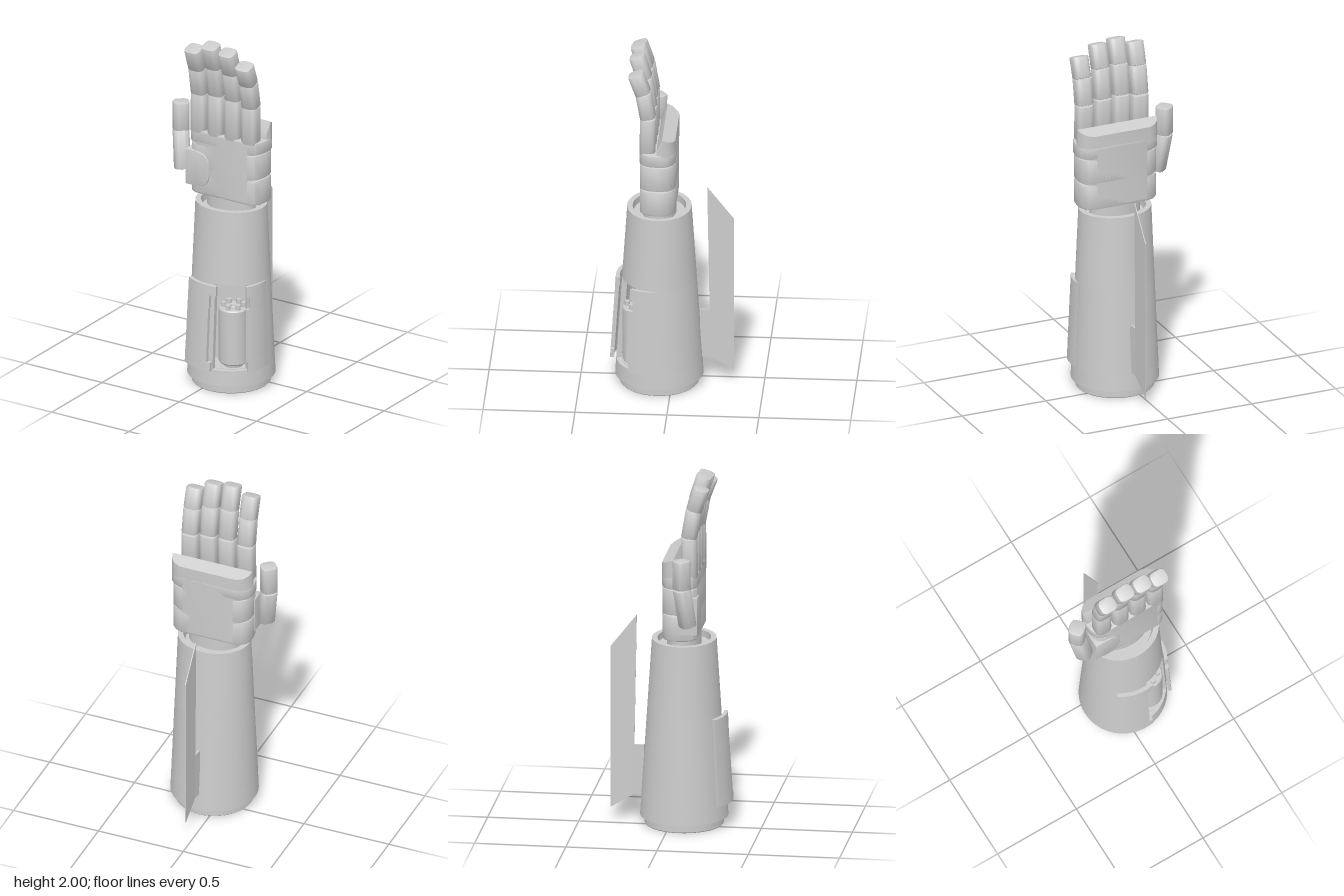
import * as THREE from 'three';
import { toCreasedNormals } from 'three/addons/utils/BufferGeometryUtils.js';

const MAT = new THREE.MeshStandardMaterial({ color: 0xcccccc });
const CX = 0.057, CZ = 0.07; // forearm axis
const DEG = Math.PI / 180;

function part(parent, name, geo, crease = 0.6) {
  const mesh = new THREE.Mesh(toCreasedNormals(geo.index ? geo.toNonIndexed() : geo, crease), MAT);
  mesh.name = name;
  parent.add(mesh);
  return mesh;
}

// Forearm half-widths: round at the elbow, oval at the wrist
function radii(y) {
  const t = (y - 0.05) / 1.0;
  return [0.24 - 0.037 * t, 0.24 - 0.065 * t];
}

// Curved block following the forearm, angles measured from the front towards +x
function wallBlock(a0, a1, y0, y1, inner, outer, lift = () => 0) {
  const full = a1 - a0 >= 360, n = Math.max(4, Math.ceil((a1 - a0) / 6)), pos = [];
  const point = (i, j) => {
    const deg = a0 + (a1 - a0) * i / n, a = deg * DEG;
    const y = j < 2 ? y0 : y1, off = (j === 1 || j === 2 ? outer : inner) + lift(deg);
    const [rx, rz] = radii(y);
    return [CX + (rx + off) * Math.sin(a), y, CZ + (rz + off) * Math.cos(a)];
  };
  const quad = (a, b, c, d) => pos.push(...a, ...b, ...c, ...a, ...c, ...d);
  for (let i = 0; i < n; i++) for (let j = 0; j < 4; j++) {
    const k = (j + 1) % 4;
    quad(point(i, j), point(i + 1, j), point(i + 1, k), point(i, k));
  }
  if (!full) {
    quad(point(0, 0), point(0, 1), point(0, 2), point(0, 3));
    quad(point(n, 3), point(n, 2), point(n, 1), point(n, 0));
  }
  const g = new THREE.BufferGeometry();
  g.setAttribute('position', new THREE.Float32BufferAttribute(pos, 3));
  return g;
}

// Upright slab from an outline in x and z, with rounded top and bottom edges
function slab(shape, y0, y1, bevel) {
  const g = new THREE.ExtrudeGeometry(shape, {
    depth: y1 - y0 - 2 * bevel, curveSegments: 6, bevelEnabled: bevel > 0,
    bevelSize: bevel, bevelOffset: -bevel, bevelThickness: bevel, bevelSegments: 2,
  });
  return g.rotateX(-Math.PI / 2).translate(0, y0 + bevel, 0);
}

// Hand outline between two depths, mirrored about the forearm axis
function handShape(profile, grow = 0) {
  const right = profile.map(([x, z]) => new THREE.Vector2(CX + x + grow, -z));
  const left = profile.map(([x, z]) => new THREE.Vector2(CX - x - grow, -z)).reverse();
  return new THREE.Shape([...right, ...left]);
}

function roundedRect(w, d, r) {
  const s = new THREE.Shape(), x = w / 2, y = d / 2;
  s.moveTo(-x + r, -y);
  s.lineTo(x - r, -y).quadraticCurveTo(x, -y, x, -y + r);
  s.lineTo(x, y - r).quadraticCurveTo(x, y, x - r, y);
  s.lineTo(-x + r, y).quadraticCurveTo(-x, y, -x, y - r);
  s.lineTo(-x, -y + r).quadraticCurveTo(-x, -y, -x + r, -y);
  return s;
}

// Finger bones strung along a list of joints
function digit(parent, name, joints, w, d, yaw = 0) {
  const group = new THREE.Group();
  group.name = name;
  for (let i = 0; i + 1 < joints.length; i++) {
    const a = new THREE.Vector3(...joints[i]), b = new THREE.Vector3(...joints[i + 1]);
    const dir = b.clone().sub(a);
    const g = slab(roundedRect(w, d, 0.034), 0, dir.length(), 0.006).rotateY(yaw);
    const m = part(group, 'segment' + (i + 1), g);
    m.position.copy(a);
    m.quaternion.setFromUnitVectors(new THREE.Vector3(0, 1, 0), dir.normalize());
  }
  parent.add(group);
}

function buildForearm(root) {
  const arm = new THREE.Group();
  arm.name = 'forearm';
  root.add(arm);
  part(arm, 'elbowBand', wallBlock(0, 360, 0.05, 0.14, -0.04, 0));
  part(arm, 'upperSleeve', wallBlock(0, 360, 0.63, 1.05, -0.03, 0));
  part(arm, 'lowerSleeve', wallBlock(55, 367, 0.14, 0.63, -0.03, 0));

  // Open elbow collar with a recessed lid
  const collar = [[0.175, 0.06], [0.175, 0.005], [0.18, 0], [0.21, 0], [0.215, 0.005], [0.215, 0.05]];
  const collarGeo = new THREE.LatheGeometry(collar.map(p => new THREE.Vector2(...p)), 48);
  part(arm, 'elbowCollar', collarGeo.translate(CX, 0, CZ));
  for (const [y, r] of [[0.06, 0.21], [0.135, 0.21], [0.64, 0.18], [1.01, 0.16]]) {
    const g = new THREE.CylinderGeometry(r, r, 0.015, 40);
    part(arm, 'innerPlate', g.scale(1, 1, radii(y)[1] / radii(y)[0]).translate(CX, y, CZ));
  }

  // Sliding door with a stepped edge, floating over the sleeve
  const slide = new THREE.Group();
  slide.name = 'slidingDoor';
  arm.add(slide);
  for (const [y0, y1, a1] of [[0.14, 0.19, 7], [0.19, 0.5, 2], [0.5, 0.575, 3], [0.575, 0.63, 12]])
    part(slide, 'doorPanel', wallBlock(-37, a1, y0, y1, 0.012, 0.034));

  // Hinged door, opened a little at its front edge
  const hinge = new THREE.Group();
  hinge.name = 'hingedDoor';
  arm.add(hinge);
  const swing = a => 0.028 * (90 - a) / 40;
  for (const [y0, y1, a0] of [[0.14, 0.2, 53], [0.2, 0.5, 50], [0.5, 0.57, 56], [0.57, 0.63, 51]])
    part(hinge, 'doorPanel', wallBlock(a0, 90, y0, y1, -0.015, 0.004, swing));

  // Compartment back wall
  const back = new THREE.BoxGeometry(0.3, 0.5, 0.01).translate(0, 0.385, 0.05);
  part(arm, 'compartmentWall', back.rotateY(28 * DEG).translate(CX, 0, CZ));
}

function buildMagazine(root) {
  const mag = new THREE.Group();
  mag.name = 'magazine';
  mag.position.set(0.145, 0, 0.185);
  root.add(mag);
  const profile = [[0, 0.14], [0.05, 0.14], [0.055, 0.165], [0.075, 0.165], [0.08, 0.172], [0.08, 0.478], [0.074, 0.485], [0, 0.485]];
  part(mag, 'drum', new THREE.LatheGeometry(profile.map(p => new THREE.Vector2(...p)), 32));
  part(mag, 'hub', new THREE.TorusGeometry(0.022, 0.008, 8, 24).rotateX(Math.PI / 2).translate(0, 0.488, 0));
  for (let i = 0; i < 6; i++) {
    const a = i * Math.PI / 3;
    const g = new THREE.CylinderGeometry(0.014, 0.014, 0.035, 12);
    part(mag, 'cartridge', g.translate(0.054 * Math.sin(a), 0.493, 0.054 * Math.cos(a)));
  }
}

function buildBlade(root) {
  const blade = new THREE.Group();
  blade.name = 'blade';
  root.add(blade);
  // Outline drawn as depth behind the axis and height
  const plate = (pts, t) => new THREE.ExtrudeGeometry(
    new THREE.Shape(pts.map(p => new THREE.Vector2(...p))), { depth: t, bevelEnabled: false })
    .translate(0, 0, -t / 2).rotateY(Math.PI / 2).translate(CX, 0, 0);
  part(blade, 'fin', plate([[0.205, 0.15], [0.335, 0.07], [0.335, 0.98], [0.19, 1.165], [0.203, 0.43]], 0.005));
  const mount = plate([[0.15, 0.15], [0.207, 0.15], [0.207, 0.43], [0.15, 0.43]], 0.016);
  const p = mount.attributes.position;
  for (let i = 0; i < p.count; i++) if (p.getZ(i) < -0.2) p.setX(i, CX + (p.getX(i) - CX) * 0.4);
  part(blade, 'mount', mount);
}

function buildHand(root) {
  const hand = new THREE.Group();
  hand.name = 'hand';
  root.add(hand);
  const wrist = new THREE.CylinderGeometry(0.145, 0.145, 0.1, 40);
  part(hand, 'wrist', wrist.scale(1, 1, 0.64).translate(CX, 1.05, CZ));

  // Stacked palm plates
  const rear = [[0.16, -0.027], [0.195, -0.013], [0.218, 0.01], [0.228, 0.04]];
  const palm = [...rear, [0.228, 0.075], [0.222, 0.115], [0.205, 0.148], [0.175, 0.165]].reverse();
  part(hand, 'palmCore', slab(handShape(palm, -0.012), 1.1, 1.44, 0));
  part(hand, 'lowerPalm', slab(handShape(palm), 1.085, 1.232, 0.012));
  part(hand, 'middlePalm', slab(handShape(palm), 1.237, 1.378, 0.005));
  part(hand, 'knuckleBand', slab(handShape(palm, 0.007), 1.384, 1.455, 0.006));

  // Knuckle guard rising to a ridge and dropping towards the fingers
  const guards = [
    [[...rear].reverse(), z => 1.52 + 0.03 * (z + 0.027) / 0.067],
    [[[0.222, 0.07], [0.228, 0.04]], z => 1.55 - 0.06 * (z - 0.04) / 0.03],
  ];
  for (const [profile, top] of guards) {
    const g = slab(handShape(profile, 0.007), 1.44, 1.55, 0), p = g.attributes.position;
    for (let i = 0; i < p.count; i++) if (p.getY(i) > 1.5) p.setY(i, top(p.getZ(i)));
    part(hand, 'knuckleGuard', g);
  }

  // Thumb mount on the palm
  const pad = new THREE.Shape();
  pad.moveTo(-0.175, 1.13);
  pad.lineTo(-0.11, 1.13).quadraticCurveTo(-0.022, 1.13, -0.022, 1.22);
  pad.lineTo(-0.022, 1.25).quadraticCurveTo(-0.022, 1.335, -0.11, 1.335);
  pad.lineTo(-0.175, 1.335);
  const padGeo = new THREE.ExtrudeGeometry(pad, { depth: 0.085, curveSegments: 10, bevelSize: 0.005, bevelOffset: -0.005, bevelThickness: 0.005, bevelSegments: 2 });
  part(hand, 'thumbMount', padGeo.translate(0, 0, 0.083));

  // Fingers: x, two joint heights and tip height
  const fingers = [[-0.11, 1.665, 1.82, 1.945], [0, 1.68, 1.85, 1.985], [0.109, 1.675, 1.84, 1.97], [0.218, 1.655, 1.8, 1.913]];
  for (const [x, y1, y2, y3] of fingers)
    digit(hand, 'finger', [[x, 1.44, 0.124], [x, y1, 0.121], [x, y2, 0.147], [x, y3, 0.189]], 0.096, 0.086);
  digit(hand, 'thumb', [[-0.222, 1.195, 0.128], [-0.25, 1.41, 0.1], [-0.25, 1.572, 0.097]], 0.09, 0.086, 40 * DEG);
}

export function createModel() {
  const root = new THREE.Group();
  root.name = 'mechanicalArm';
  buildForearm(root);
  buildMagazine(root);
  buildBlade(root);
  buildHand(root);
  return root;
}
